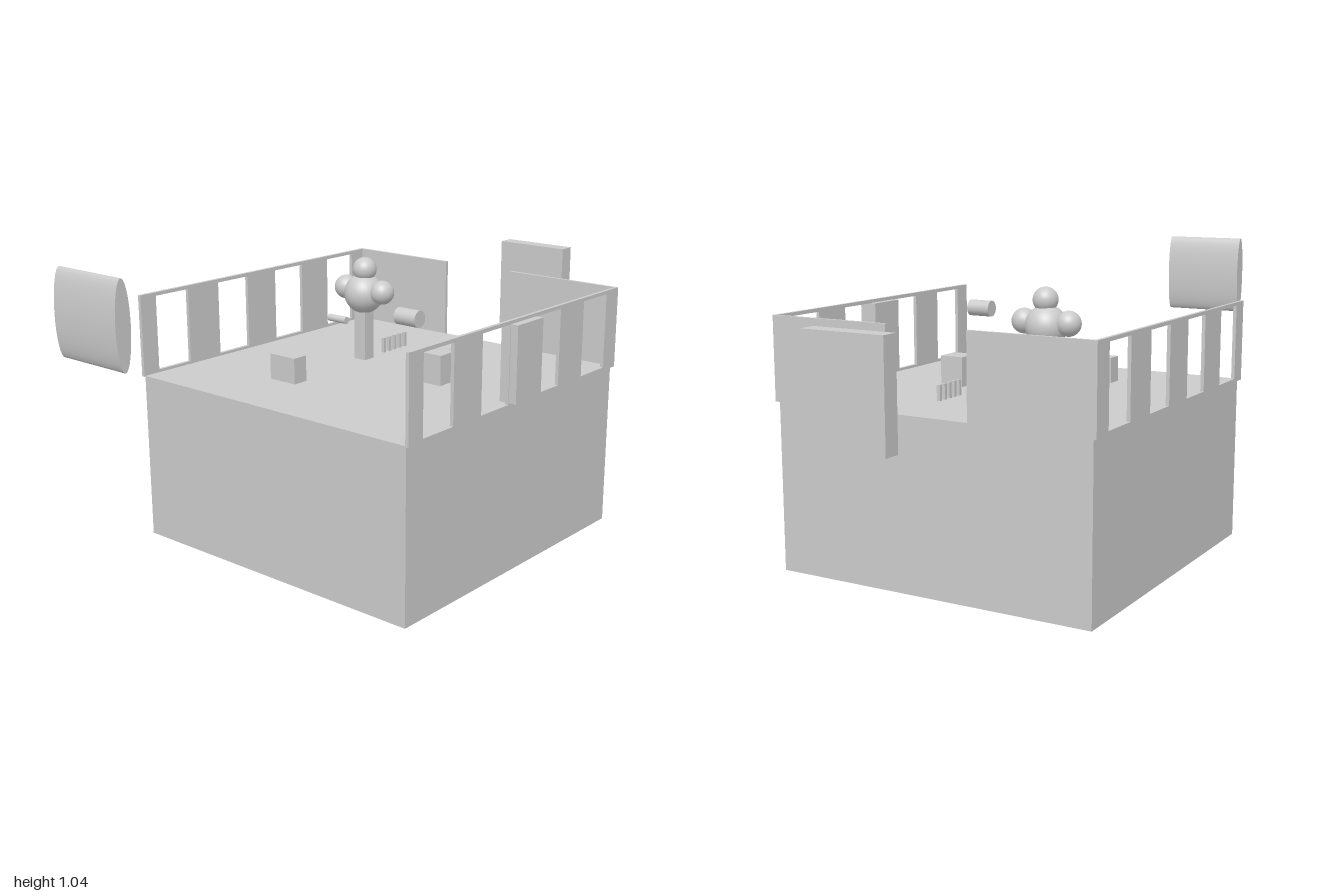
import * as THREE from 'three';

export function createModel() {
  const root = new THREE.Group();
  const mat = new THREE.MeshStandardMaterial({ color: 0xcccccc });
  const add = (name, geo, x = 0, y = 0, z = 0) => {
    const m = new THREE.Mesh(geo, mat);
    m.name = name;
    m.position.set(x, y, z);
    root.add(m);
    return m;
  };
  // Box given by its limits on each axis
  const box = (name, [x0, x1], [y0, y1], [z0, z1]) =>
    add(name, new THREE.BoxGeometry(x1 - x0, y1 - y0, z1 - z0), (x0 + x1) / 2, (y0 + y1) / 2, (z0 + z1) / 2);
  // Cylinder lying along z
  const rod = (name, r, length, x, y, z) =>
    add(name, new THREE.CylinderGeometry(r, r, length, 32).rotateX(Math.PI / 2), x, y, z);
  const rect = (shape, x0, x1, y0, y1) =>
    shape.moveTo(x0, y0).lineTo(x1, y0).lineTo(x1, y1).lineTo(x0, y1).closePath();

  const floor = 0.572;
  box('base', [-0.535, 0.595], [0, floor], [-0.578, 0.556]);

  // Front and back walls with four windows each
  const wall = new THREE.Shape();
  rect(wall, -0.538, 0.603, 0.569, 0.85);
  for (let i = 0; i < 4; i++) {
    const hole = new THREE.Path();
    const x = -0.4 + i * 0.285;
    rect(hole, x - 0.072, x + 0.072, 0.581, 0.838);
    wall.holes.push(hole);
  }
  const wallGeo = new THREE.ExtrudeGeometry(wall, { depth: 0.012, bevelEnabled: false });
  add('frontWall', wallGeo, 0, 0, 0.555);
  add('backWall', wallGeo, 0, 0, -0.591);

  // Left wall in two pieces with a doorway between, and the detached door
  box('sideWallBack', [0.591, 0.603], [0.569, 0.85], [-0.591, -0.163]);
  box('sideWallFront', [0.591, 0.603], [0.569, 0.85], [0.127, 0.567]);
  box('door', [0.942, 1], [0.545, 0.882], [-0.154, 0.128]);

  // Panel set in the front wall
  box('frontPanel', [-0.04, 0.1], [0.586, 0.839], [0.532, 0.593]);

  // Floating elliptical cylinder on the right
  const ellipse = rod('floatingDrum', 1, 0.283, -0.972, 0.896, -0.272);
  ellipse.scale.set(0.028, 0.14, 1);

  // Figure of spheres on a post
  box('figurePost', [0.097, 0.145], [floor, 0.76], [-0.19, -0.142]);
  const ball = (name, r, y, z) => add(name, new THREE.SphereGeometry(r, 32, 20), 0.121, y, z);
  ball('figureBody', 0.07, 0.807, -0.165);
  ball('figureHead', 0.042, 0.893, -0.162);
  for (const s of [-1, 1]) ball('figureArm', 0.042, 0.82, -0.165 + s * 0.082);

  // Furniture
  box('lowBox', [-0.285, -0.228], [floor, 0.66], [-0.23, -0.12]);
  box('tallBox', [0.01, 0.097], [floor, 0.675], [0.175, 0.26]);
  rod('largeRoller', 0.028, 0.085, -0.108, 0.82, 0.222);
  rod('smallRoller', 0.013, 0.085, 0.222, 0.663, -0.38);

  // Two rows of little pegs
  for (const z of [-0.164, 0.105])
    for (let i = 0; i < 5; i++) {
      const x = 0.228 + i * 0.029;
      box('peg', [x - 0.006, x + 0.006], [floor, 0.625], [z - 0.006, z + 0.006]);
    }
  return root;
}
